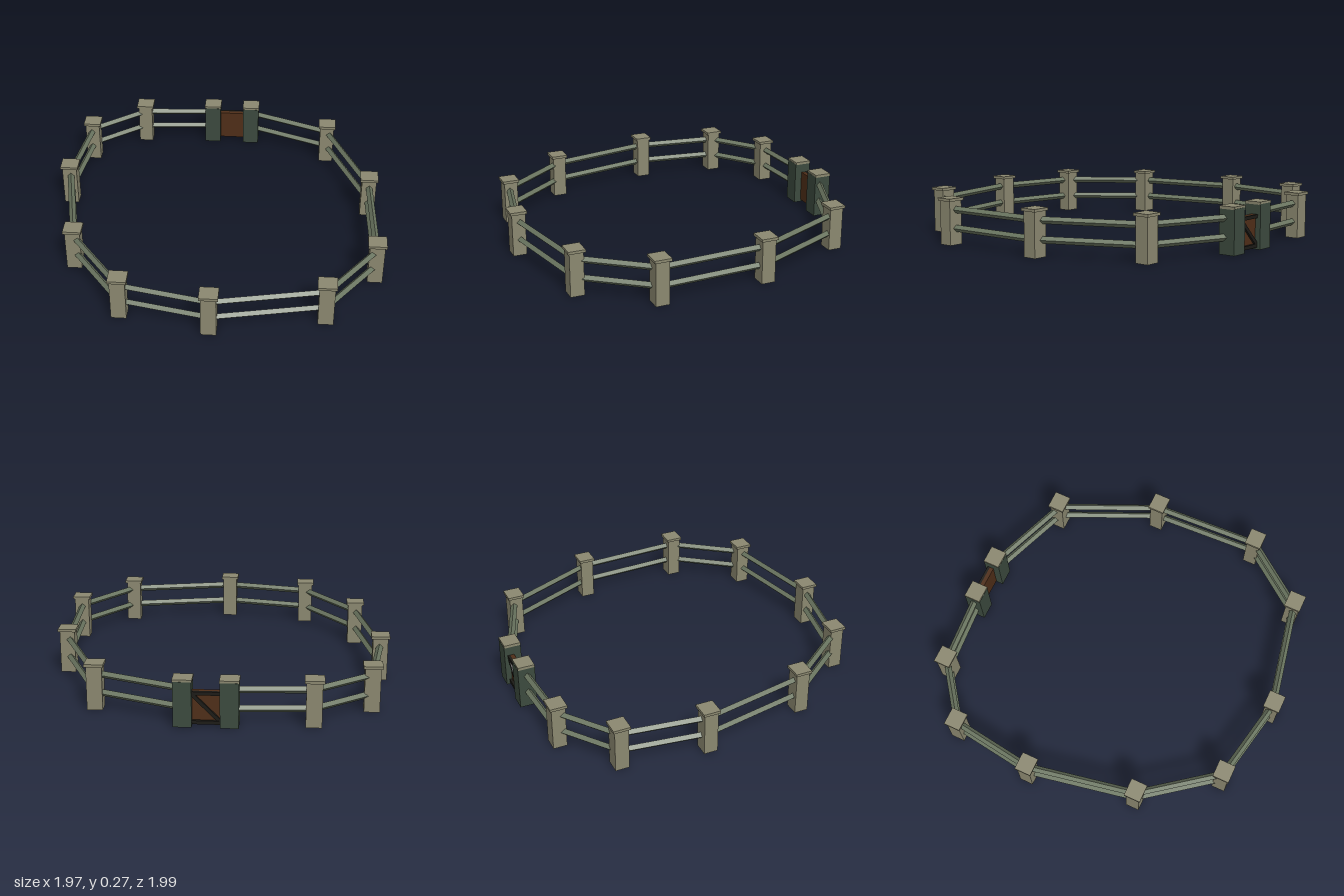
import * as THREE from 'three';

const mat = (color) => new THREE.MeshStandardMaterial({ color, flatShading: true });

export function createModel() {
  const group = new THREE.Group();
  group.name = 'paddockFence';
  const stone = mat(0x8b8870), railGreen = mat(0x6a7560), darkGreen = mat(0x3c4a3e);
  const brown = mat(0x4f2e18), black = mat(0x1c1a16);

  const add = (parent, name, geometry, material, x, y, z) => {
    const mesh = new THREE.Mesh(geometry, material);
    mesh.name = name;
    mesh.position.set(x, y, z);
    parent.add(mesh);
    return mesh;
  };

  // Post positions (x, z) around the ring; the first and last flank the gate
  const posts = [
    [0.14, -0.95], [0.64, -0.76], [0.895, -0.195], [0.925, 0.44],
    [0.645, 0.815], [0.01, 0.945], [-0.495, 0.845], [-0.81, 0.435],
    [-0.935, -0.195], [-0.87, -0.685], [-0.555, -0.92], [-0.11, -0.95],
  ];
  const bodyGeo = new THREE.BoxGeometry(0.087, 0.252, 0.08);
  const gateBodyGeo = new THREE.BoxGeometry(0.1, 0.256, 0.1);
  const capGeo = new THREE.BoxGeometry(0.106, 0.016, 0.098);

  posts.forEach(([x, z], i) => {
    const isGate = i === 0 || i === posts.length - 1;
    const post = new THREE.Group();
    post.name = isGate ? 'gatePost' : 'post';
    post.position.set(x, 0, z);
    group.add(post);
    add(post, 'postBody', isGate ? gateBodyGeo : bodyGeo, isGate ? darkGreen : stone, 0, isGate ? 0.128 : 0.126, 0);
    add(post, 'postCap', capGeo, stone, 0, 0.26, 0);
  });

  // Two diamond-section rails between each pair of neighbouring posts
  for (let i = 0; i < posts.length - 1; i++) {
    const [ax, az] = posts[i], [bx, bz] = posts[i + 1];
    const length = Math.hypot(bx - ax, bz - az);
    const geo = new THREE.CylinderGeometry(0.02, 0.02, length, 4).rotateX(Math.PI / 2);
    for (const y of [0.095, 0.202]) {
      const rail = add(group, 'rail', geo, railGreen, (ax + bx) / 2, y, (az + bz) / 2);
      rail.rotation.y = Math.atan2(bx - ax, bz - az);
    }
  }

  // Gate: plain panel with dark bracing on its outer face
  const gate = new THREE.Group();
  gate.name = 'gate';
  gate.position.set(0.015, 0.105, -0.955);
  group.add(gate);
  add(gate, 'gatePanel', new THREE.BoxGeometry(0.154, 0.185, 0.024), brown, 0, 0, 0);
  const barGeo = new THREE.BoxGeometry(0.154, 0.02, 0.016);
  for (const y of [-0.0825, 0.0825]) add(gate, 'gateBar', barGeo, black, 0, y, -0.019);
  const braceGeo = new THREE.BoxGeometry(0.215, 0.02, 0.014);
  add(gate, 'gateBrace', braceGeo, black, 0, 0, -0.018).rotation.z = 0.79;

  return group;
}
